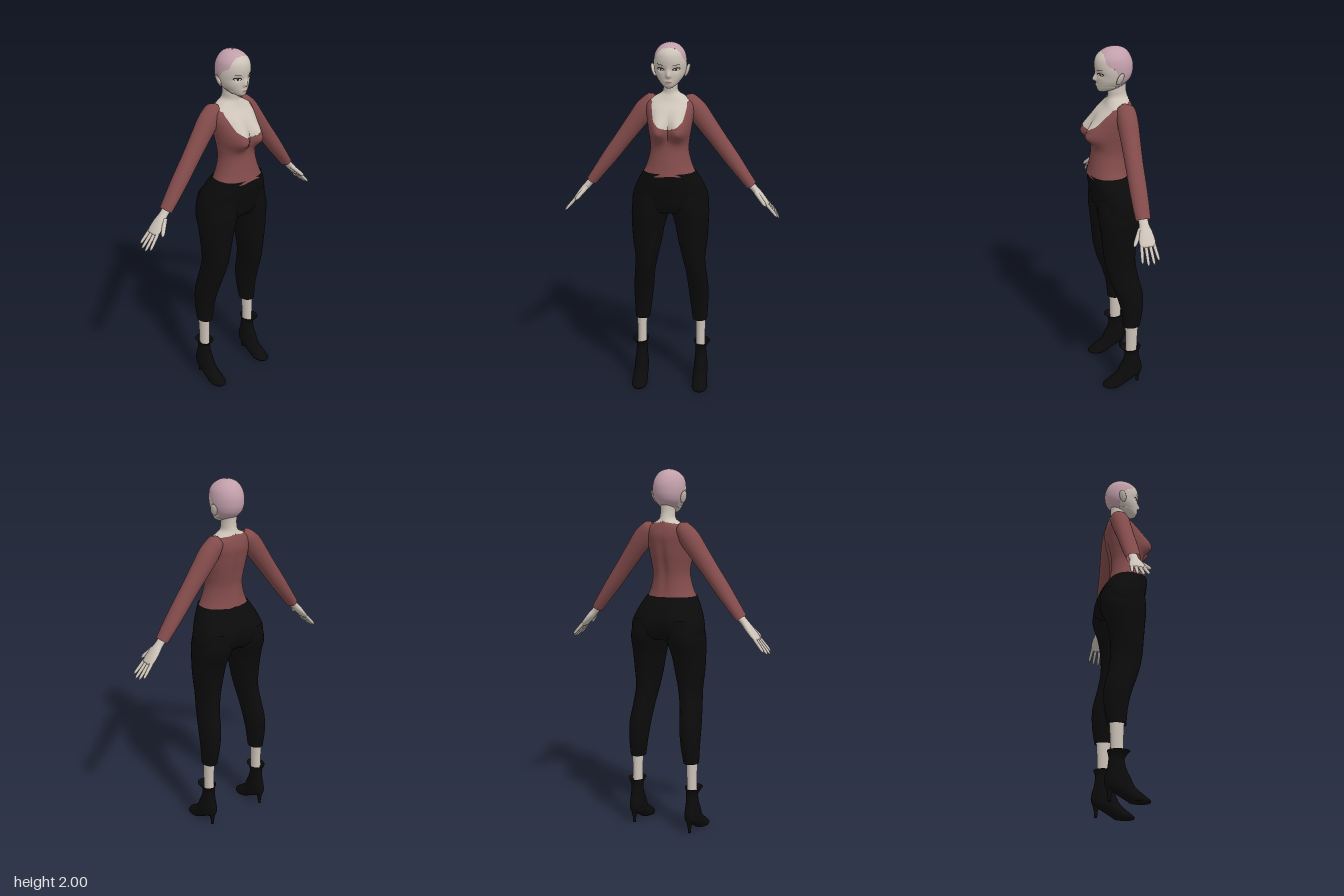
import * as THREE from 'three';

const mat = (name, color, side = THREE.DoubleSide) => {
  const m = new THREE.MeshStandardMaterial({ color, side });
  m.name = name;
  return m;
};
const skin = mat('skin', 0xcdc3b8), red = mat('red knit', 0x834b4b), black = mat('black cloth', 0x0b0b0b);
const pink = mat('pink hair', 0xc29fab), dark = mat('dark lashes', 0x30211f);
const white = mat('eye white', 0xd9d2cc), lip = mat('lips', 0xa67f78);

// Smooth interpolation of a row table (descending y in column 0).
function sample(rows, y) {
  let i = 0;
  while (i < rows.length - 2 && y < rows[i + 1][0]) i++;
  const a = rows[i], b = rows[i + 1], p = rows[Math.max(i - 1, 0)], q = rows[Math.min(i + 2, rows.length - 1)];
  const h = b[0] - a[0], t = THREE.MathUtils.clamp((y - a[0]) / h, 0, 1), t2 = t * t, t3 = t2 * t;
  return a.map((v, k) => {
    const m0 = (b[k] - p[k]) / (b[0] - p[0]) * h, m1 = (q[k] - v) / (q[0] - a[0]) * h;
    return (2 * t3 - 3 * t2 + 1) * v + (t3 - 2 * t2 + t) * m0 + (3 * t2 - 2 * t3) * b[k] + (t3 - t2) * m1;
  });
}
function linear(table, y) {
  let i = 0;
  while (i < table.length - 2 && y < table[i + 1][0]) i++;
  const [a, b] = [table[i], table[i + 1]];
  return THREE.MathUtils.lerp(a[1], b[1], THREE.MathUtils.clamp((y - a[0]) / (b[0] - a[0]), 0, 1));
}
const sym = rows => rows.map(([y, w, f, b]) => [y, -w, w, f, b]);
const flip = (rows, s) => s > 0 ? rows : rows.map(([y, i, o, f, b]) => [y, -o, -i, f, b]);
const pw = (v, p) => Math.sign(v) * Math.pow(Math.abs(v), p);

// Stack of oval sections, rows [y, xMin, xMax, zFront, zBack]; from/to limit the angle (0 = front).
function column(name, material, rows, o = {}) {
  const { top = rows[0][0], bottom = rows[rows.length - 1][0], n = 24, seg = 32, p = 1, warp, cap } = o;
  const from = o.from || (() => 0), to = o.to || (() => Math.PI * 2);
  const open = !!o.from, cols = open ? seg + 1 : seg, pos = [], index = [];
  const rings = cap ? n + 2 : n + 1;
  for (let i = 0; i < rings; i++) {
    const y = THREE.MathUtils.lerp(top, bottom, Math.min(i / n, 1)), r = sample(rows, y);
    const k = i > n ? 0 : 1, a0 = from(y), a1 = to(y);
    for (let j = 0; j < cols; j++) {
      const t = a0 + (a1 - a0) * j / seg;
      const v = new THREE.Vector3((r[1] + r[2]) / 2 + k * pw(Math.sin(t), p) * (r[2] - r[1]) / 2, y,
        (r[3] + r[4]) / 2 + k * pw(Math.cos(t), p) * (r[3] - r[4]) / 2);
      if (warp) warp(v, t);
      pos.push(v.x, v.y, v.z);
    }
  }
  for (let i = 0; i < rings - 1; i++) for (let j = 0; j < seg; j++) {
    const a = i * cols + j, b = i * cols + (j + 1) % cols, c = a + cols, d = b + cols;
    index.push(a, c, b, b, c, d);
  }
  const g = new THREE.BufferGeometry();
  g.setAttribute('position', new THREE.Float32BufferAttribute(pos, 3));
  g.setIndex(index);
  g.computeVertexNormals();
  const m = new THREE.Mesh(g, material);
  m.name = name;
  return m;
}

const bell = (d, s) => Math.exp(-(d * d) / (s * s));
const headRows = sym([[2, .004, -.008, -.018], [1.997, .02, .012, -.038], [1.99, .04, .035, -.06], [1.975, .06, .06, -.08],
  [1.95, .078, .083, -.097], [1.92, .086, .091, -.108], [1.89, .088, .09, -.11], [1.86, .085, .085, -.106],
  [1.83, .076, .084, -.092], [1.80, .056, .082, -.06], [1.78, .036, .078, -.02], [1.768, .016, .068, .02]]);
const faceWarp = v => {
  if (v.z < .01) return;
  const x = Math.abs(v.x);
  v.z += .02 * bell(x, .011) * bell(v.y - 1.836, v.y > 1.836 ? .026 : .01);
  v.z += .004 * bell(x, .016) * bell(v.y - 1.802, .009) - .007 * bell(x - .04, .02) * bell(v.y - 1.868, .013);
};
// Thin almond-shaped plate following the face.
function facePlate(name, material, cx, cy, rx, ry, tilt = 0, lift = .002) {
  const g = new THREE.CircleGeometry(1, 20), a = g.attributes.position;
  for (let i = 0; i < a.count; i++) {
    const x = cx + a.getX(i) * rx, y = cy + a.getY(i) * ry + a.getX(i) * rx * tilt, r = sample(headRows, y);
    const v = new THREE.Vector3(x, y, (r[3] + r[4]) / 2 + (r[3] - r[4]) / 2 * Math.sqrt(Math.max(0, 1 - (x / r[2]) ** 2)));
    faceWarp(v);
    a.setXYZ(i, x, y, v.z + lift);
  }
  g.computeVertexNormals();
  const m = new THREE.Mesh(g, material);
  m.name = name;
  return m;
}

const torsoRows = sym([[1.82, .04, .015, -.075], [1.77, .039, .022, -.075], [1.735, .046, .022, -.083], [1.715, .08, .03, -.092],
  [1.69, .122, .045, -.102], [1.65, .13, .082, -.11], [1.6, .125, .102, -.105], [1.545, .117, .108, -.097],
  [1.49, .108, .108, -.086], [1.43, .105, .114, -.077], [1.36, .121, .126, -.08], [1.303, .145, .138, -.09]]);
// Bust, spine groove and wavy hem.
const torsoWarp = (v, t) => {
  const lobe = bell(Math.abs(v.x) - .06, .05) * bell(v.y - 1.542, v.y > 1.542 ? .075 : .05);
  if (v.z > 0) v.z += .064 * lobe * Math.min(1, v.z / .05);
  else v.z += .012 * bell(v.x, .022) * bell(v.y - 1.48, .14);
  if (v.y < 1.34) v.y += (1.34 - v.y) * .12 * Math.sin(5 * t + 1);
};
const neckline = [[1.722, Math.PI], [1.705, 1.5], [1.69, .86], [1.65, .77], [1.6, .68], [1.575, .42], [1.565, .22], [1.558, 0]];
const hairline = [[1.978, 0], [1.972, .6], [1.955, .85], [1.92, 1.05], [1.905, 1.4], [1.87, 1.6], [1.8, 2.1]];

export function createModel() {
  const model = new THREE.Group();
  const neck = y => linear(neckline, y), hair = y => linear(hairline, y);
  const full = Math.PI * 2;

  // Head, hair, neck and bodice share their section tables, split along the hairline and neckline.
  const head = new THREE.Group();
  head.name = 'head';
  const hairEdge = y => y < 1.802 ? Math.PI : hair(y);
  head.add(column('face', skin, headRows, { top: 1.98, n: 72, seg: 64, from: y => -hairEdge(y), to: hairEdge, warp: faceWarp, cap: true }));
  head.add(column('hair', pink, headRows, { bottom: 1.8, n: 70, seg: 48, from: hair, to: y => full - hair(y) }));
  head.add(facePlate('mouth', lip, 0, 1.802, .017, .0055));
  for (const s of [1, -1]) {
    head.add(facePlate('lashes', dark, s * .041, 1.87, .021, .0085, s * .12));
    head.add(facePlate('eye', white, s * .041, 1.868, .016, .005, s * .1, .003));
    head.add(facePlate('iris', dark, s * .04, 1.868, .005, .0052, 0, .004));
    head.add(facePlate('brow', dark, s * .042, 1.893, .02, .0016, s * .15));
    const ear = new THREE.Mesh(new THREE.SphereGeometry(1, 16, 12), skin);
    ear.name = 'ear';
    ear.scale.set(.009, .036, .02);
    ear.position.set(s * .09, 1.853, -.02);
    ear.rotation.set(-.15, s * .45, s * -.32);
    head.add(ear);
  }
  model.add(head);
  model.add(column('neckAndChest', skin, torsoRows, { bottom: 1.558, n: 48, seg: 48, from: y => -neck(y), to: neck, warp: torsoWarp }));
  model.add(column('bodice', red, torsoRows, { top: 1.722, n: 64, seg: 64, from: neck, to: y => full - neck(y), warp: torsoWarp }));

  // Trousers
  const hipRows = sym([[1.318, .14, .133, -.084], [1.25, .178, .126, -.128], [1.18, .206, .112, -.156], [1.12, .213, .1, -.148], [1.085, .207, .085, -.12]]);
  model.add(column('trouserHips', black, hipRows, {
    seg: 48, p: .85, cap: true,
    warp: v => { if (v.z < 0) v.z += .02 * bell(v.x, .025) * bell(v.y - 1.14, .07); }
  }));
  const legRows = [[1.2, .015, .19, .1, -.145], [1.1, .002, .215, .106, -.151], [1, .028, .215, .095, -.117], [.9, .047, .209, .085, -.1],
    [.8, .07, .198, .075, -.098], [.7, .09, .205, .05, -.115], [.6, .1, .215, .015, -.137], [.5, .112, .215, -.01, -.136], [.4, .126, .21, -.02, -.12]];
  const calfRows = [[.44, .143, .203, -.03, -.112], [.33, .145, .2, -.035, -.105], [.23, .147, .199, -.037, -.102]];
  const bootRows = [[.258, .133, .229, -.002, -.122], [.245, .14, .22, -.015, -.118], [.22, .144, .208, -.03, -.113], [.17, .143, .209, -.022, -.119],
    [.12, .138, .215, .002, -.132], [.09, .136, .217, .015, -.134], [.065, .135, .218, .035, -.122], [.045, .134, .219, .06, -.085],
    [.022, .133, .221, .09, -.045], [.008, .133, .222, .104, -.02], [0, .137, .218, .1, -.01]];

  // Sleeve and hand sections, measured down the limb
  const sleeveRows = sym([[.03, .012, -.03, -.055], [.015, .034, -.005, -.085], [-.01, .044, .003, -.097], [-.07, .056, .008, -.1], [-.16, .052, .006, -.096],
    [-.28, .046, .004, -.09], [-.4, .042, .004, -.088], [-.5, .035, .002, -.085], [-.578, .03, -.002, -.08]]);
  const palmRows = sym([[.03, .02, .026, -.026], [-.03, .019, .026, -.026], [-.07, .019, .036, -.037], [-.115, .015, .043, -.043], [-.145, .011, .039, -.04]]);
  const finger = (len, r) => sym([[0, r, r, -r], [-len * .5, r * .92, r * .92, -r * .92], [-len * .88, r * .75, r * .75, -r * .75], [-len, r * .3, r * .3, -r * .3]]);

  for (const s of [1, -1]) {
    model.add(column('trouserLeg', black, flip(legRows, s), { n: 40 }));
    model.add(column('calf', skin, flip(calfRows, s), { n: 8 }));

    const boot = new THREE.Group();
    boot.name = 'boot';
    boot.add(column('bootUpper', black, flip(bootRows, s), { n: 48, cap: true }));
    boot.add(column('heel', black, flip([[.1, .15, .204, -.075, -.13], [.06, .16, .194, -.088, -.124], [.03, .167, .187, -.097, -.117],
      [0, .168, .186, -.099, -.116]], s), { n: 10, seg: 14, cap: true }));
    model.add(boot);

    const sleeve = column('sleeve', red, sleeveRows, { n: 36 });
    sleeve.position.set(s * .1, 1.69, 0);
    sleeve.rotation.z = s * .638;
    model.add(sleeve);

    const hand = new THREE.Group();
    hand.name = 'hand';
    hand.position.set(s * .443, 1.228, -.04);
    hand.rotation.z = s * .725;
    hand.add(column('palm', skin, palmRows, { n: 16, seg: 20, cap: true }));
    [[.033, .092], [.011, .107], [-.011, .103], [-.032, .085]].forEach(([z, len]) => {
      const f = column('finger', skin, finger(len, .0095), { n: 8, seg: 10, cap: true });
      f.position.set(0, -.134, z);
      f.rotation.x = -z * 4;
      hand.add(f);
    });
    const thumb = column('thumb', skin, finger(.1, .0125), { n: 8, seg: 10, cap: true });
    thumb.position.set(-s * .004, -.045, .022);
    thumb.rotation.x = -.5;
    hand.add(thumb);
    model.add(hand);
  }
  return model;
}
